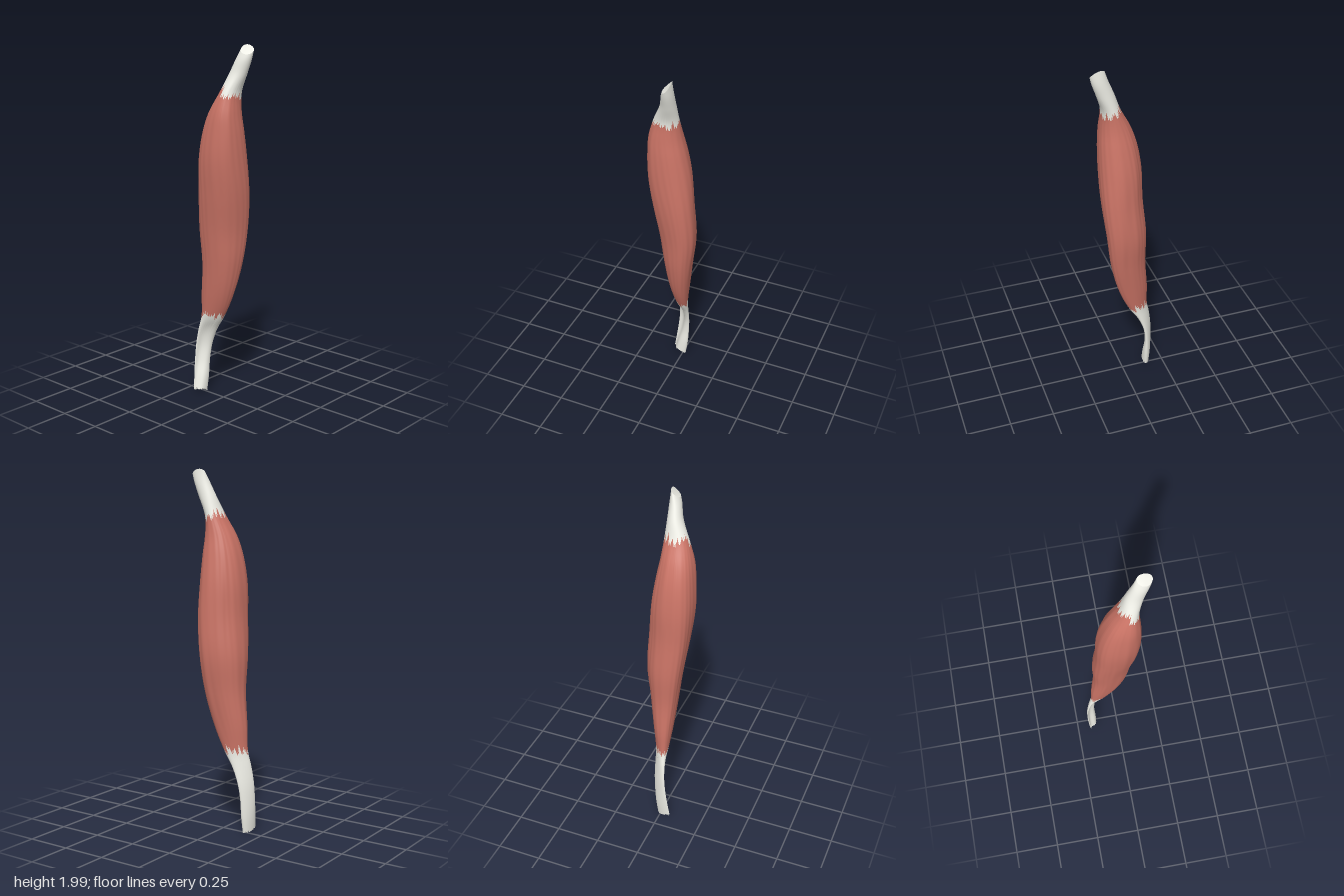
import * as THREE from 'three';

// Cross-sections: height, x min, x max, z min, z max, skew of the oval
const SECTIONS = [
  [0.00, -0.174, -0.130, -0.015, 0.076, -0.25],
  [0.10, -0.182, -0.130, -0.030, 0.060, -0.45],
  [0.20, -0.185, -0.133, -0.038, 0.045, -0.75],
  [0.30, -0.182, -0.120, -0.045, 0.035, -0.9],
  [0.40, -0.167, -0.080, -0.050, 0.031, -0.75],
  [0.46, -0.153, -0.040, -0.055, 0.031, -0.55],
  [0.60, -0.148, 0.025, -0.075, 0.045, -0.35],
  [0.80, -0.132, 0.078, -0.105, 0.065, -0.3],
  [1.00, -0.135, 0.102, -0.130, 0.090, -0.3],
  [1.20, -0.122, 0.119, -0.126, 0.115, -0.25],
  [1.40, -0.112, 0.123, -0.110, 0.131, -0.12],
  [1.55, -0.084, 0.120, -0.086, 0.124, -0.05],
  [1.65, -0.047, 0.113, -0.067, 0.110, 0],
  [1.75, 0.008, 0.110, -0.056, 0.078, 0],
  [1.85, 0.046, 0.142, -0.053, 0.032, -0.1],
  [1.93, 0.080, 0.170, -0.052, 0.010, -0.1],
  [2.00, 0.106, 0.186, -0.046, -0.022, 0],
];
const spline = new THREE.CubicInterpolant(
  SECTIONS.map((s) => s[0]), SECTIONS.flatMap((s) => s.slice(1)), 5);

const AROUND = 120;
const { smoothstep, lerp } = THREE.MathUtils;
const hash = (n) => { const s = Math.sin(n * 127.1 + 11.7) * 43758.5453; return s - Math.floor(s); };
const squash = (c, p) => Math.sign(c) * Math.abs(c) ** p;
const angle = (c) => (c / AROUND) * Math.PI * 2;

// Point on the skin: a fuller front left side and fibre grooves on the belly,
// and a hollow along the inner face of the lower tendon
function skin(column, y) {
  const [x0, x1, z0, z1, skew] = spline.evaluate(y);
  const t = angle(column);
  const belly = smoothstep(y, 0.4, 0.75) * (1 - smoothstep(y, 1.6, 1.85));
  const power = 1 - 0.12 * belly;
  const fullness = 0.08 * Math.cos(t - Math.PI / 4) ** 3 * smoothstep(y, 0.9, 1.3);
  const swell = 1 + belly * (fullness - 0.008
    + 0.009 * Math.sin(7 * t + 2.5 * y + 1.5 * Math.sin(2 * t + 3 * y))
    + 0.006 * Math.sin(19 * t - 3 * y + 2 * Math.sin(3 * t)));
  const hollow = 0.012 * Math.max(0, Math.cos(t - 1.5)) ** 4 * (1 - smoothstep(y, 0.35, 0.5));
  return new THREE.Vector3(
    (x0 + x1) / 2 + (x1 - x0) / 2 * squash(Math.cos(t), power) * swell - hollow, y,
    (z0 + z1) / 2 + (z1 - z0) / 2 * squash(Math.sin(t + skew), power) * swell - hollow);
}

// Ragged edges between flesh and tendon, and the cut ends of the tendons
const ragged = (c, seed) => hash(Math.floor(c / 4) + seed) * 0.05 + (c % 4 === 1 ? 0.02 : 0);
const bottomEnd = (c) => 0.008 + 0.022 * (1 + Math.sin(angle(c))) / 2 + hash(Math.floor(c / 2) + 90) * 0.014;
const lowerEdge = (c) => 0.445 + ragged(c, 5);
const upperEdge = (c) => 1.72 - 0.012 * Math.cos(angle(c)) + ragged(c, 40);
const topEnd = (c) => 1.975 - 0.012 * Math.cos(angle(c)) - 0.021 * Math.sin(angle(c));

// Sleeve of skin between two edge curves
function sleeve(from, to, rows) {
  const pos = [], index = [];
  for (let r = 0; r <= rows; r++) {
    for (let c = 0; c < AROUND; c++) {
      pos.push(...skin(c, lerp(from(c), to(c), r / rows)).toArray());
    }
  }
  for (let r = 0; r < rows; r++) {
    for (let c = 0; c < AROUND; c++) {
      const a = r * AROUND + c, b = r * AROUND + (c + 1) % AROUND;
      index.push(a, a + AROUND, b, b, a + AROUND, b + AROUND);
    }
  }
  return build(pos, index);
}

// Fan that closes a cut end
function endCap(edge, up) {
  const ring = Array.from({ length: AROUND }, (_, c) => skin(c, edge(c)));
  const centre = ring.reduce((sum, p) => sum.add(p), new THREE.Vector3()).divideScalar(AROUND);
  const index = [];
  for (let c = 0; c < AROUND; c++) {
    const n = (c + 1) % AROUND;
    index.push(AROUND, ...(up ? [n, c] : [c, n]));
  }
  return build([...ring, centre].flatMap((p) => p.toArray()), index);
}

function build(pos, index) {
  const geometry = new THREE.BufferGeometry();
  geometry.setAttribute('position', new THREE.Float32BufferAttribute(pos, 3));
  geometry.setIndex(index);
  geometry.computeVertexNormals();
  return geometry;
}

export function createModel() {
  const group = new THREE.Group();
  group.name = 'muscle';
  const flesh = new THREE.MeshStandardMaterial({ color: 0xcb7466 });
  const tendon = new THREE.MeshStandardMaterial({ color: 0xeeeee6 });
  const add = (name, geometry, material) => {
    const mesh = new THREE.Mesh(geometry, material);
    mesh.name = name;
    group.add(mesh);
  };

  add('muscleBelly', sleeve(lowerEdge, upperEdge, 60), flesh);
  add('lowerTendon', sleeve(bottomEnd, lowerEdge, 28), tendon);
  add('upperTendon', sleeve(upperEdge, topEnd, 20), tendon);
  add('lowerTendonEnd', endCap(bottomEnd, false), tendon);
  add('upperTendonEnd', endCap(topEnd, true), tendon);
  return group;
}
